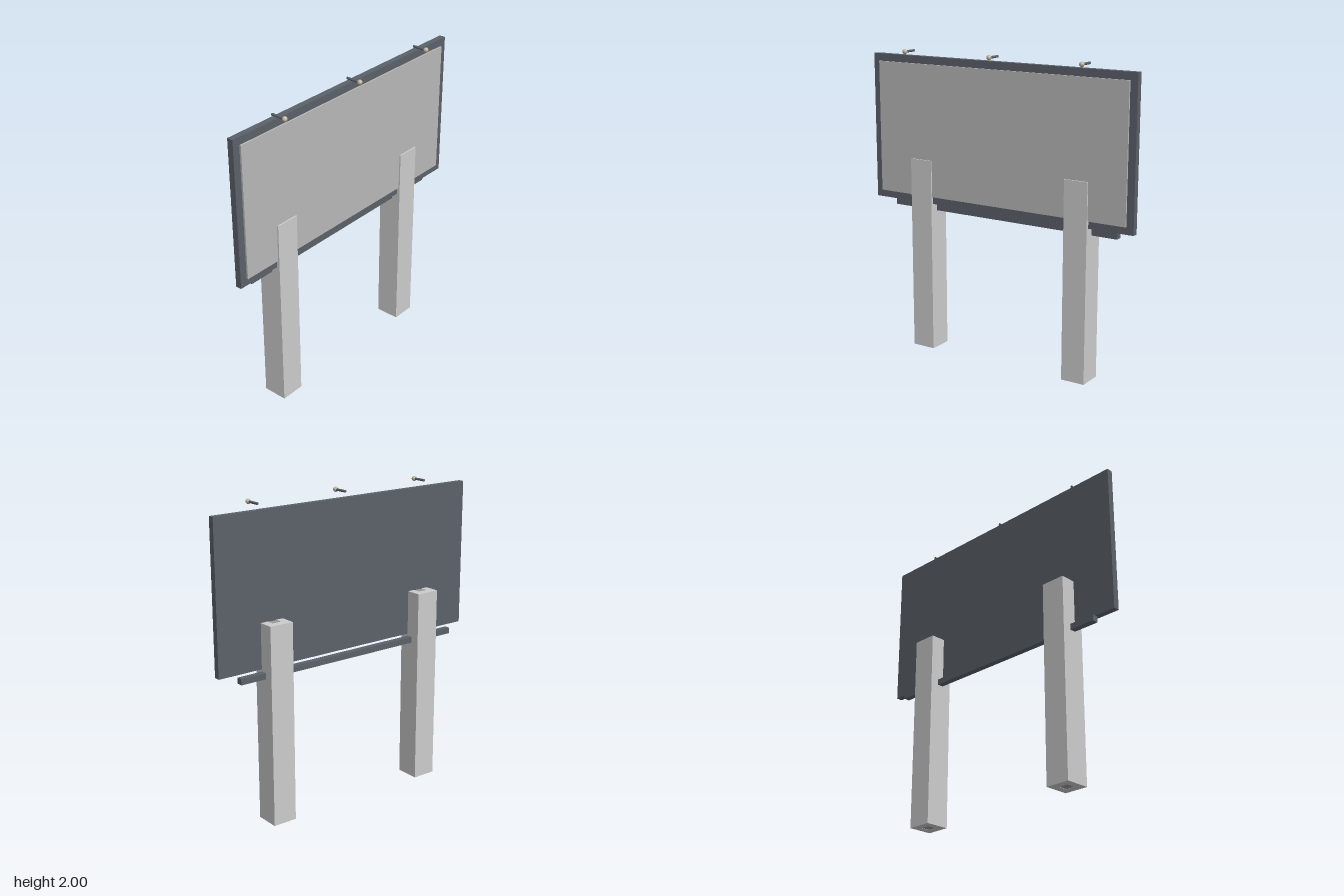
import * as THREE from 'three';

const mat = (color) => new THREE.MeshStandardMaterial({ color });
const steel = mat(0x5b6169);
const concrete = mat(0xcccccc);
const core = mat(0x999999);
const face = mat(0xb7b7b7);
const bulb = mat(0xbdb49c);

function part(name, geometry, material, x, y, z) {
  const mesh = new THREE.Mesh(geometry, material);
  mesh.name = name;
  mesh.position.set(x, y, z);
  return mesh;
}

// Box given by its lower and upper corners
function box(name, material, [x0, y0, z0], [x1, y1, z1]) {
  return part(name, new THREE.BoxGeometry(x1 - x0, y1 - y0, z1 - z0), material,
    (x0 + x1) / 2, (y0 + y1) / 2, (z0 + z1) / 2);
}

// Square counter-clockwise outline, for the post and its channel
function square(half, Type) {
  return new Type([[-half, -half], [half, -half], [half, half], [-half, half]]
    .map(([x, y]) => new THREE.Vector2(x, y)));
}

export function createModel() {
  const model = new THREE.Group();
  model.name = 'billboard';

  // Backing board and display face
  model.add(box('frame', steel, [-0.956, 0.995, -0.02], [0.956, 1.951, 0.02]));
  model.add(box('displayPanel', face, [-0.908, 1.042, 0], [0.908, 1.903, 0.031]));

  // Walkway rail under the board
  model.add(box('lowerRail', steel, [-0.829, 0.944, -0.062], [0.829, 0.982, -0.022]));

  // Square posts with a central channel holding a darker core
  const height = 1.283;
  const outline = square(0.08, THREE.Shape);
  outline.holes.push(square(0.03, THREE.Path));
  const postGeometry = new THREE.ExtrudeGeometry(outline, { depth: height, bevelEnabled: false });
  postGeometry.rotateX(-Math.PI / 2);
  for (const side of [-1, 1]) {
    const post = new THREE.Group();
    post.name = side > 0 ? 'leftPost' : 'rightPost';
    post.position.set(side * 0.575, 0, -0.04);
    post.add(part('postShell', postGeometry, concrete, 0, 0, 0));
    post.add(part('postCore', new THREE.BoxGeometry(0.06, height - 0.004, 0.06), core, 0, height / 2, 0));
    model.add(post);
  }

  // Three lamps on short arms above the board
  for (const x of [-0.638, 0, 0.638]) {
    const lamp = new THREE.Group();
    lamp.name = 'lamp';
    lamp.position.set(x, 1.984, 0);
    const arm = part('lampArm', new THREE.CylinderGeometry(0.008, 0.008, 0.095, 12), steel, 0, 0, 0.056);
    arm.rotation.x = Math.PI / 2;
    lamp.add(arm, part('lampBulb', new THREE.SphereGeometry(0.016, 20, 14), bulb, 0, 0, 0.104));
    model.add(lamp);
  }

  return model;
}
